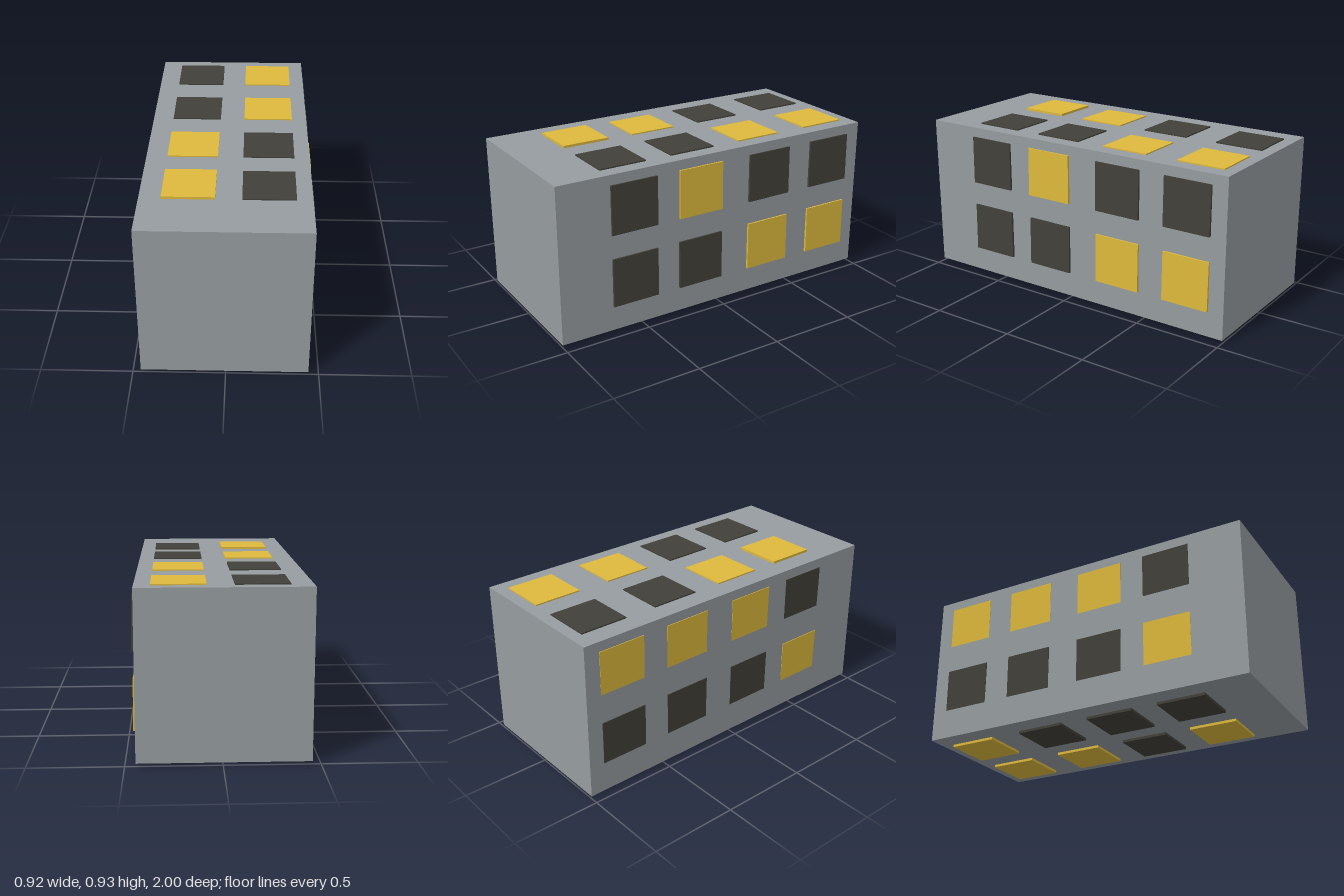
import * as THREE from 'three';

const material = (color) => new THREE.MeshStandardMaterial({ color });

export function createModel() {
  const model = new THREE.Group();
  model.name = 'panelledBlock';
  const grey = material(0x969c9f);
  const tileMaterials = { Y: material(0xddb93c), D: material(0x424039) };

  // Main block
  const left = 0.445, right = -0.457, bottom = 0.015, top = 0.917;
  const body = new THREE.Mesh(new THREE.BoxGeometry(left - right, top - bottom, 2), grey);
  body.name = 'body';
  body.position.set((left + right) / 2, (top + bottom) / 2, 0);
  model.add(body);

  // Square tiles, partly sunk into the block
  const size = 0.28, thick = 0.02, tilt = -0.016;
  const sideTile = new THREE.BoxGeometry(thick, size, size);
  const flatTile = new THREE.BoxGeometry(size, thick, size);
  const addTile = (name, geometry, code, x, y, z, roll = 0) => {
    const tile = new THREE.Mesh(geometry, tileMaterials[code]);
    tile.name = name;
    tile.position.set(x, y, z);
    // Positive roll about z pushes the lower edge towards +x
    tile.rotation.z = -roll;
    model.add(tile);
  };

  // Colour codes run from the front to the back
  const sideZ = [0.55, 0.13, -0.335, -0.77];
  const flatZ = [0.565, 0.13, -0.32, -0.79];

  // Side tiles: upper row, then lower row, all leaning slightly
  const rowY = [0.72, 0.30];
  ['DYDD', 'DDYY'].forEach((row, r) => sideZ.forEach((z, i) =>
    addTile('leftTile', sideTile, row[i], left + 0.012 - thick / 2, rowY[r], z, tilt)));
  ['DYYY', 'YDDD'].forEach((row, r) => sideZ.forEach((z, i) =>
    addTile('rightTile', sideTile, row[i], right - 0.0018 + thick / 2, rowY[r], z, tilt)));

  // Top and bottom tiles: column at -x, then column at +x
  const columnX = [-0.20, 0.22];
  ['YYDD', 'DDYY'].forEach((column, c) => flatZ.forEach((z, i) => {
    const rise = c === 0 && i === 0 ? 0.014 : 0.007;
    addTile('topTile', flatTile, column[i], columnX[c], top + rise - thick / 2, z);
  }));
  ['DDDY', 'YDYY'].forEach((column, c) => flatZ.forEach((z, i) =>
    addTile('bottomTile', flatTile, column[i], columnX[c], thick / 2, z)));

  return model;
}
